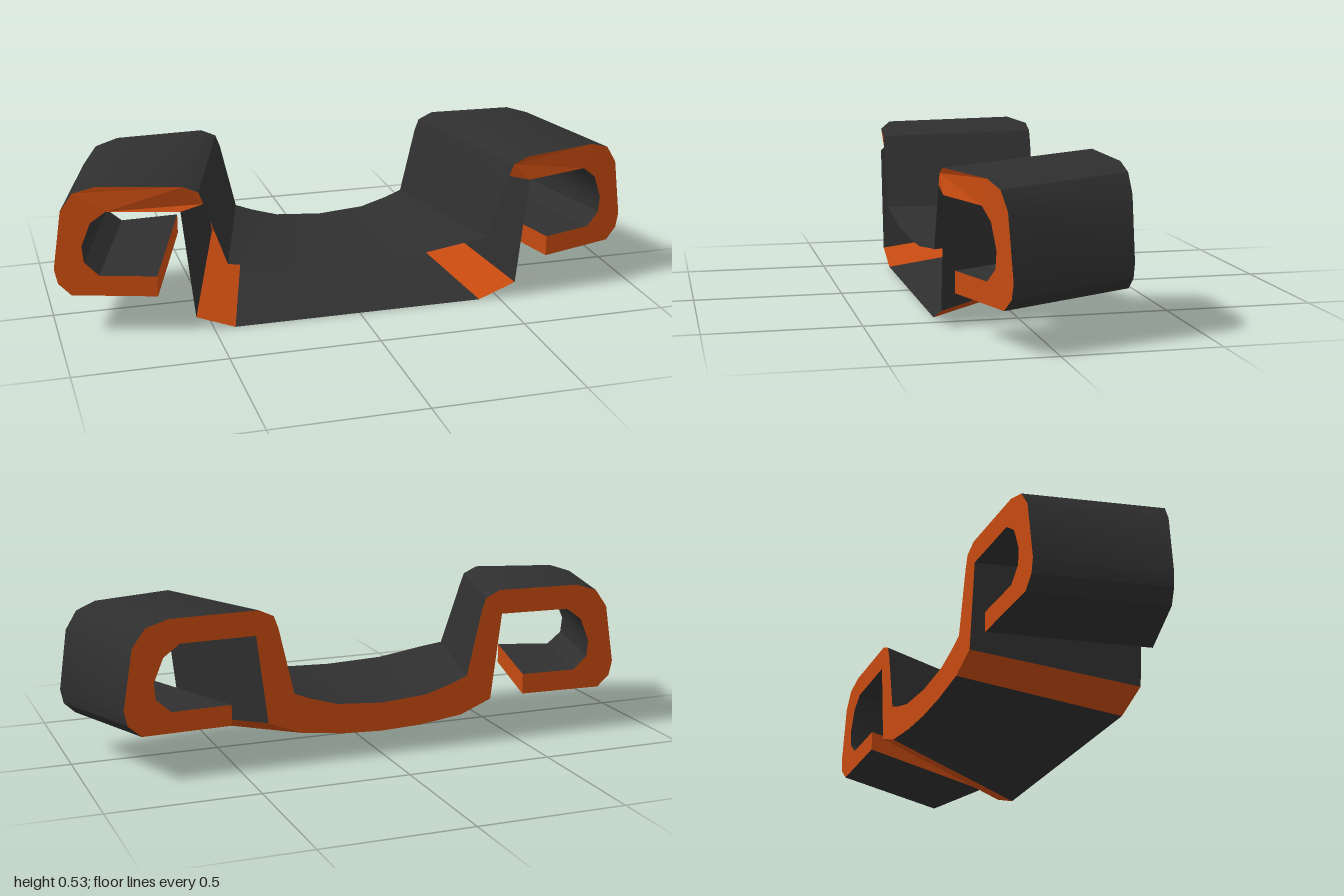
import * as THREE from 'three';
import { toCreasedNormals } from 'three/addons/utils/BufferGeometryUtils.js';

const Z = 0.262;
// The wing ends are cut on a slant, the middle ends square
const frontZ = (x) => Math.min(Z, Z - 0.32 * (Math.abs(x) - 0.62));

// Section point: front position and, at the back, the narrower position
function point(xf, yf, xb, yb) {
  const run = frontZ(xf) + Z;
  return { xf, yf, xb: xb ?? xf - 0.31 * run, yb: yb ?? yf + 0.05 * run };
}
const mirror = (pts) => pts.map((p) => ({ ...p, xf: -p.xf, xb: -p.xb })).reverse();

// Skin joining the back and front positions of a run of section points
function skin(pts) {
  const pos = [];
  const back = (p) => [p.xb, p.yb, -Z];
  const front = (p) => [p.xf, p.yf, frontZ(p.xf)];
  for (let i = 0; i < pts.length - 1; i++) {
    const a = back(pts[i]), b = back(pts[i + 1]);
    const c = front(pts[i + 1]), d = front(pts[i]);
    pos.push(...d, ...c, ...b, ...d, ...b, ...a);
  }
  const g = new THREE.BufferGeometry();
  g.setAttribute('position', new THREE.Float32BufferAttribute(pos, 3));
  return toCreasedNormals(g, 0.6);
}

export function createModel() {
  const group = new THREE.Group();
  const dark = new THREE.MeshStandardMaterial({ color: 0x2f2f2f, side: THREE.DoubleSide });
  dark.name = 'charcoal';
  const orange = new THREE.MeshStandardMaterial({ color: 0xc54a10, side: THREE.DoubleSide });
  orange.name = 'burnt orange';

  const add = (name, geometry, material) => {
    const mesh = new THREE.Mesh(geometry, material);
    mesh.name = name;
    group.add(mesh);
  };

  // Upper outline, from the centre of the floor over the wing to its lip
  const floorTop = [
    point(0, 0.183, 0, 0.178), point(0.2, 0.19, 0.16, 0.19),
    point(0.39, 0.218, 0.25, 0.217), point(0.45, 0.225, 0.31, 0.24),
  ];
  const wingOuter = [
    point(0.525, 0.44), point(0.54, 0.48), point(0.59, 0.503), point(0.86, 0.503),
    point(0.93, 0.48), point(0.97, 0.42), point(1, 0.22), point(0.99, 0.17), point(0.95, 0.13),
    point(0.68, 0.13),
  ];
  // Lower outline, from the lip back to the centre
  const wingInner = [
    point(0.68, 0.2), point(0.86, 0.2), point(0.905, 0.245), point(0.91, 0.3),
    point(0.88, 0.38), point(0.83, 0.42), point(0.6, 0.42),
  ];
  const chamferTop = point(0.56, 0.05, 0.4, 0.15);
  const floorBottom = [
    point(0.43, 0, 0.29, 0.105), point(0.2, 0, 0.14, 0.086), point(0, 0, 0, 0.08),
  ];

  const upper = [...floorTop, ...wingOuter];
  const lower = [...wingInner, chamferTop, ...floorBottom];
  const fullUpper = [...mirror(upper), ...upper.slice(1)];
  const fullLower = [...lower, ...mirror(lower).slice(1)];

  // Dark skins
  add('upperSkin', skin(fullUpper), dark);
  add('floorUnderside', skin([...floorBottom, ...mirror(floorBottom).slice(1)]), dark);

  // Back cut face, closed all round
  const outline = [...fullUpper, ...fullLower].map((p) => new THREE.Vector2(p.xb, p.yb));
  const backCap = new THREE.ShapeGeometry(new THREE.Shape(outline));
  backCap.rotateY(Math.PI).translate(0, 0, -Z);
  add('backCutFace', backCap, orange);

  // Paired parts; the middle of the front stays open
  for (const side of ['left', 'right']) {
    const flip = (pts) => (side === 'left' ? pts : mirror(pts));
    add(side + 'WingInside', skin(flip([...wingInner, chamferTop])), dark);
    add(side + 'Chamfer', skin(flip([chamferTop, floorBottom[0]])), orange);
    add(side + 'LipEnd', skin(flip([wingOuter.at(-1), wingInner[0]])), orange);

    const ring = flip([...wingOuter, ...wingInner]).map((p) => new THREE.Vector2(p.xf, p.yf));
    const cap = new THREE.ShapeGeometry(new THREE.Shape(ring)).toNonIndexed();
    const pos = cap.attributes.position;
    for (let i = 0; i < pos.count; i++) pos.setZ(i, frontZ(pos.getX(i)));
    cap.computeVertexNormals();
    add(side + 'WingCutFace', cap, orange);
  }
  return group;
}
